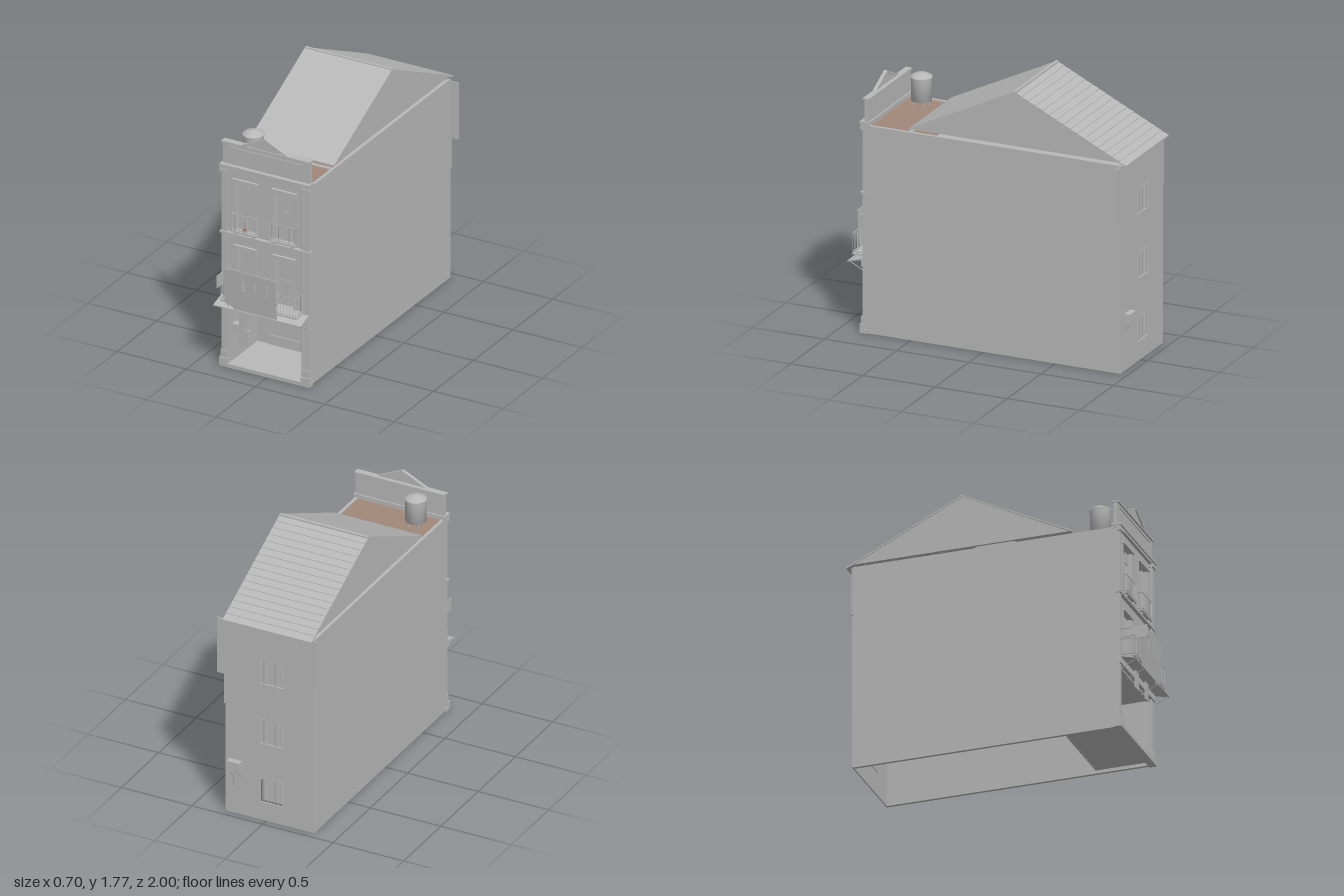
import * as THREE from 'three';

export function createModel() {
  const root = new THREE.Group();
  root.name = 'townhouse';
  const mat = (name, color) => {
    const m = new THREE.MeshStandardMaterial({ color, side: THREE.DoubleSide });
    m.name = name;
    return m;
  };
  const grey = mat('plaster grey', 0xb8b8b8);
  const brown = mat('terrace brown', 0xa08779);
  const clay = mat('pot clay', 0xc0755a);

  const add = (name, geo, m = grey) => {
    const mesh = new THREE.Mesh(geo, m);
    mesh.name = name;
    root.add(mesh);
    return mesh;
  };
  // box given by its limits on each axis
  const box = (name, x0, x1, y0, y1, z0, z1, m) => {
    const mesh = add(name, new THREE.BoxGeometry(x1 - x0, y1 - y0, z1 - z0), m);
    mesh.position.set((x0 + x1) / 2, (y0 + y1) / 2, (z0 + z1) / 2);
    return mesh;
  };
  const rod = (name, a, b, r = 0.003) => {
    const p = new THREE.Vector3(...a), d = new THREE.Vector3(...b).sub(p);
    const mesh = add(name, new THREE.CylinderGeometry(r, r, d.length(), 6));
    mesh.position.copy(p).addScaledVector(d, 0.5);
    mesh.quaternion.setFromUnitVectors(new THREE.Vector3(0, 1, 0), d.normalize());
    return mesh;
  };
  const outline = pts => new THREE.Shape(pts.map(p => new THREE.Vector2(...p)));
  // flat plate in the xy plane with rectangular holes [x0, x1, y0, y1]
  const plate = (name, pts, holes, z, depth) => {
    const s = outline(pts);
    holes.forEach(([a, b, c, d]) =>
      s.holes.push(new THREE.Path([[a, c], [a, d], [b, d], [b, c]].map(p => new THREE.Vector2(...p)))));
    const mesh = add(name, new THREE.ExtrudeGeometry(s, { depth, bevelEnabled: false }));
    mesh.position.z = z;
    return mesh;
  };
  const L = -0.34, R = 0.29, TOP = 1.385, FRONT = 0.82, BACK = -0.95;

  // shell: hollow body, open underneath
  box('leftWall', R - 0.02, R, 0, TOP, BACK, FRONT);
  box('rightWall', L, L + 0.02, 0, TOP, BACK, FRONT);
  const doors = [[-0.25, -0.09], [0.03, 0.19]];
  const openings = [[-0.29, 0.245, 0.025, 0.43]];
  doors.forEach(([a, b]) => openings.push([a + 0.01, b - 0.01, 0.5, 0.84], [a, b, 0.96, 1.3]));
  plate('frontWall', [[L, 0], [R, 0], [R, TOP], [L, TOP]], openings, 0.8, 0.02);

  // rear wall with uneven edges and three barred windows
  const rearWindows = [0.13, 0.55, 0.98].map(y => [-0.115, 0.04, y, y + 0.175]);
  plate('rearWall', [[L, 0], [R, 0], [R, 0.77], [0.3, 0.77], [0.3, 0.98], [0.35, 0.98], [0.35, 1.375],
    [-0.355, 1.375], [-0.355, 1.05], [L, 1.05]], rearWindows, BACK, 0.008);
  rearWindows.forEach(([a, b, c, d]) => {
    box('rearWindowPane', a, b, c, d, BACK + 0.025, BACK + 0.03);
    for (let i = 0; i <= 6; i++) {
      const x = a + (b - a) * i / 6;
      rod('windowBar', [x, c, BACK - 0.003], [x, d, BACK - 0.003], 0.002);
    }
    for (const y of [c, d]) rod('windowRail', [a, y, BACK - 0.003], [b, y, BACK - 0.003], 0.002);
  });

  // rear cooling unit on brackets
  box('coolingUnit', 0.165, 0.255, 0.32, 0.39, -1.0, -0.96);
  const fan = add('fanRing', new THREE.TorusGeometry(0.025, 0.003, 6, 16));
  fan.position.set(0.2, 0.355, -0.998);
  for (const x of [0.18, 0.24]) {
    rod('unitBracket', [x, 0.315, -0.95], [x, 0.315, -0.995]);
    rod('unitStrut', [x, 0.27, -0.95], [x, 0.315, -0.99]);
  }
  rod('unitPipe', [0.21, 0.32, -0.985], [0.21, 0.22, -0.985], 0.002);

  // flat top and terrace
  box('ceiling', L + 0.02, R - 0.02, 1.355, 1.368, BACK, 0.8);
  box('terraceFloor', L + 0.025, R - 0.02, 1.368, 1.376, 0.35, 0.79, brown);
  box('terraceRim', L, R, 1.365, 1.383, 0.5, 0.525);

  // gable ends
  for (const x of [L + 0.005, R - 0.02]) {
    const g = new THREE.ExtrudeGeometry(
      outline([[0.5, 1.405], [-0.22, 1.76], [BACK, 1.405]]), { depth: 0.015, bevelEnabled: false });
    g.rotateY(-Math.PI / 2);
    add('gable', g).position.x = x + 0.015;
  }
  // roof slopes
  const slope = (name, za, ya, zb, yb, t) => {
    const g = new THREE.ExtrudeGeometry(
      outline([[za, ya], [zb, yb], [zb, yb - t], [za, ya - t]]), { depth: R - L, bevelEnabled: false });
    g.rotateY(-Math.PI / 2);
    add(name, g).position.x = R;
  };
  slope('frontRoof', -0.22, 1.77, 0.515, 1.41, 0.01);
  const rows = 16;
  for (let i = 0; i < rows; i++) {
    const at = k => [-0.22 - 0.77 * k / rows, 1.765 - 0.375 * k / rows];
    const [z0, y0] = at(i), [z1, y1] = at(i + 1);
    slope('roofTileRow', z0, y0, z1, y1 + 0.004, 0.011);
  }
  box('ridge', L, R, 1.757, 1.771, -0.23, -0.21);

  // water tank
  const tank = add('waterTank', new THREE.LatheGeometry(
    [[0, 1.415], [0.067, 1.415], [0.067, 1.565], [0.07, 1.565], [0.07, 1.575], [0.04, 1.592], [0, 1.6]]
      .map(p => new THREE.Vector2(...p)), 24));
  tank.position.set(-0.21, 0, 0.66);
  for (let i = 0; i < 4; i++) {
    const a = Math.PI * (0.25 + i / 2), x = -0.21 + 0.05 * Math.cos(a), z = 0.66 + 0.05 * Math.sin(a);
    rod('tankLeg', [x, 1.37, z], [x, 1.42, z], 0.005);
  }

  // cornice, parapet and pediment
  box('corniceLower', L - 0.005, R + 0.005, 1.375, 1.39, 0.79, 0.84);
  box('corniceUpper', L - 0.01, R + 0.01, 1.39, 1.41, 0.785, 0.85);
  box('parapet', L, R, 1.41, 1.555, 0.795, 0.82);
  box('parapetCap', L - 0.005, R + 0.005, 1.553, 1.565, 0.788, 0.832);
  box('parapetMoulding', -0.295, 0.24, 1.526, 1.532, 0.82, 0.826);
  plate('pediment', [[-0.19, 1.56], [0.13, 1.56], [-0.03, 1.635]], [], 0.815, 0.01);
  for (const s of [-1, 1])
    plate('pedimentEdge', [[-0.03, 1.647], [-0.03, 1.633], [-0.03 + s * 0.155, 1.558], [-0.03 + s * 0.17, 1.566]],
      [], 0.812, 0.022);

  // pilasters, belt course and step
  for (const x of [-0.32, 0.27]) {
    box('pilaster', x - 0.02, x + 0.02, 0, 1.375, 0.82, 0.835);
    box('pilasterBase', x - 0.03, x + 0.03, 0.025, 0.06, 0.82, 0.85);
    box('pilasterPlinth', x - 0.025, x + 0.025, 0.06, 0.11, 0.82, 0.842);
    box('pilasterCapital', x - 0.03, x + 0.03, 1.355, 1.377, 0.82, 0.848);
  }
  rod('drainPipe', [0.242, 0.05, 0.832], [0.242, 1.37, 0.832], 0.005);
  box('beltCourse', L - 0.01, R + 0.01, 0.927, 0.941, 0.81, 0.845);
  box('frontStep', L - 0.01, R + 0.012, 0, 0.025, 0.8, 0.85);

  // shop interior
  box('shopFloor', -0.3, 0.25, 0.012, 0.022, 0.46, 0.82);
  box('shopBackWall', -0.29, 0.25, 0.01, 0.44, 0.46, 0.468);
  box('shopSideLeft', 0.245, 0.25, 0.02, 0.44, 0.46, 0.8);
  box('shopSideRight', -0.295, -0.29, 0.02, 0.44, 0.46, 0.8);
  box('shopCeiling', -0.295, 0.25, 0.435, 0.44, 0.46, 0.8);
  box('shopBaseboard', -0.21, 0.225, 0.022, 0.09, 0.468, 0.475);
  box('shopMeterBox', -0.29, -0.2, 0.215, 0.28, 0.74, 0.79);
  box('shopCupboard', -0.28, -0.205, 0.115, 0.215, 0.7, 0.74);

  // upper doors, lintels and frames
  const frame = (a, b, c, d) => {
    box('doorPanel', a, b, c, d, 0.775, 0.782);
    box('doorMullion', (a + b) / 2 - 0.003, (a + b) / 2 + 0.003, c, d, 0.782, 0.788);
    for (const x of [a, b]) box('doorJamb', x - 0.006, x + 0.006, c, d, 0.775, 0.828);
    box('lintel', a - 0.012, b + 0.012, d, d + 0.02, 0.82, 0.84);
  };
  // railing along the front and both ends
  const railing = (x0, x1, y0, y1, zw, zf, step) => {
    for (const y of [y0 + 0.01, y1]) {
      rod('frontRail', [x0, y, zf], [x1, y, zf]);
      for (const x of [x0, x1]) rod('endRail', [x, y, zw], [x, y, zf]);
    }
    const n = Math.round((x1 - x0) / step);
    for (let i = 0; i <= n; i++) {
      const x = x0 + (x1 - x0) * i / n;
      rod('baluster', [x, y0, zf], [x, y1, zf], 0.002);
    }
    for (const x of [x0, x1]) for (const t of [0.33, 0.67])
      rod('baluster', [x, y0, zw + (zf - zw) * t], [x, y1, zw + (zf - zw) * t], 0.002);
  };
  doors.forEach(([a, b]) => {
    frame(a, b, 0.96, 1.3);
    frame(a + 0.01, b - 0.01, 0.5, 0.84);
    box('smallBalconyFloor', a - 0.01, b + 0.01, 0.955, 0.967, 0.82, 0.857);
    for (const x of [a + 0.015, b - 0.015]) box('balconyCorbel', x - 0.008, x + 0.008, 0.935, 0.955, 0.82, 0.848);
    railing(a - 0.005, b + 0.005, 0.967, 1.085, 0.82, 0.853, 0.018);
  });
  box('shutter', -0.155, -0.1, 1.215, 1.29, 0.8, 0.805);
  box('narrowShutter', 0.095, 0.13, 0.98, 1.16, 0.8, 0.805);

  // main balcony with sloping canopy
  box('balconyBeam', L, R, 0.44, 0.485, 0.82, 0.845);
  const canopy = new THREE.ExtrudeGeometry(
    outline([[0.82, 0.5], [0.94, 0.465], [0.94, 0.457], [0.82, 0.487]]), { depth: R - L, bevelEnabled: false });
  canopy.rotateY(-Math.PI / 2);
  add('canopy', canopy).position.x = R;
  box('balconyFloor', -0.3, 0.25, 0.494, 0.504, 0.82, 0.925);
  railing(-0.295, 0.245, 0.504, 0.635, 0.82, 0.922, 0.022);
  for (const x of [-0.32, -0.17, 0.08, 0.27]) rod('canopyStrut', [x, 0.4, 0.825], [x, 0.455, 0.93]);

  // hanging banner with slots, leaning forward
  const banner = plate('banner', [[-0.26, 0.5], [-0.2, 0.48], [-0.195, 0.46], [0.04, 0.46], [0.05, 0.445],
    [0.115, 0.46], [0.115, 0.745], [-0.13, 0.745], [-0.13, 0.752], [-0.185, 0.752], [-0.26, 0.74]],
    [[-0.13, -0.107, 0.618, 0.705], [-0.037, -0.027, 0.618, 0.705], [0.047, 0.057, 0.618, 0.705]], 0.9, 0.005);
  banner.rotation.x = 0.065;
  for (const x of [-0.24, 0.1]) rod('bannerPost', [x, 0.46, 0.925], [x, 0.74, 0.942]);

  // hanging and projecting boards
  box('hangingBoard', -0.185, -0.125, 0.33, 0.45, 0.88, 0.885);
  box('hangingBoard', -0.01, 0.05, 0.33, 0.45, 0.88, 0.885);
  box('balconyBoard', 0.13, 0.2, 0.65, 0.74, 0.895, 0.9);
  box('projectingBoard', -0.282, -0.278, 0.62, 0.705, 0.89, 1.0);
  rod('boardArm', [-0.28, 0.7, 0.82], [-0.28, 0.7, 0.9]);
  rod('boardArm', [-0.28, 0.63, 0.82], [-0.28, 0.63, 0.9]);

  // flower pots
  const pot = (x, y, z, r, m) => {
    const p = add('flowerPot', new THREE.CylinderGeometry(r, r * 0.7, r * 2, 12), m);
    p.position.set(x, y + r, z);
  };
  pot(-0.02, 0.504, 0.89, 0.02, clay);
  pot(0.065, 0.504, 0.89, 0.024, grey);
  pot(-0.17, 0.967, 0.837, 0.013, clay);
  box('potPlant', -0.195, -0.145, 0.993, 1.045, 0.834, 0.838);
  return root;
}
